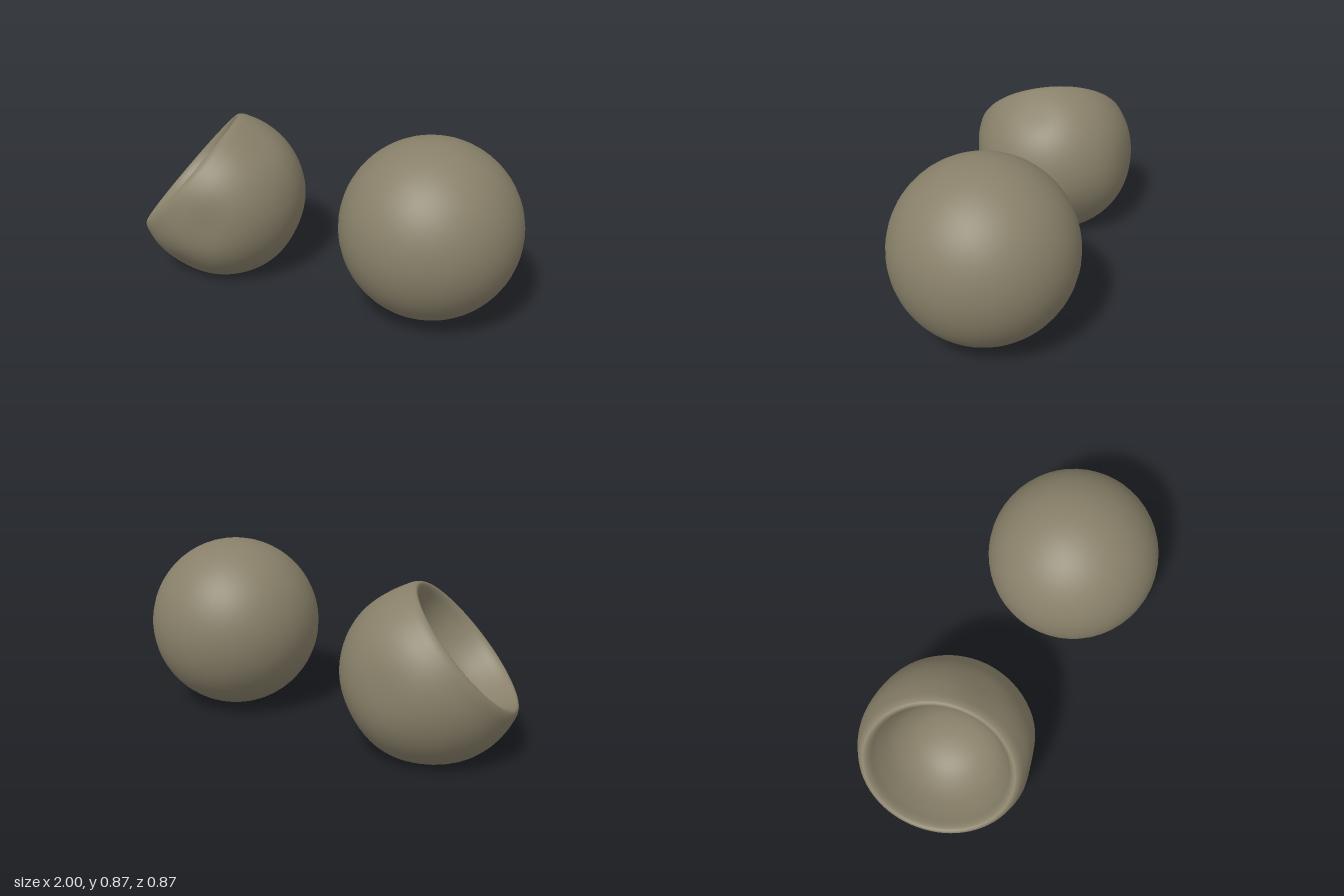
import * as THREE from 'three';
import { mergeVertices } from 'three/addons/utils/BufferGeometryUtils.js';

const R = 0.43;

// Profile around the dent axis: round back, soft lip, then the pushed-in bowl
function dentedProfile() {
  const pts = [];
  for (let i = 0; i <= 14; i++) {
    const a = THREE.MathUtils.degToRad(-90 + i * 8);
    pts.push(new THREE.Vector2(R * Math.cos(a), R * Math.sin(a)));
  }
  const bowl = [[0.382, 0.197], [0.36, 0.214], [0.337, 0.195], [0.312, 0.14], [0.26, 0.055],
    [0.18, -0.015], [0.09, -0.05], [0, -0.06]];
  bowl.forEach(([r, a]) => pts.push(new THREE.Vector2(r, a)));
  const out = new THREE.SplineCurve(pts).getPoints(84);
  out.forEach(p => { p.x = Math.max(0, p.x); });
  out[0].x = out[out.length - 1].x = 0;
  return out;
}

// Shallow dimples: direction, depth, width
const dimples = [
  [[0.35, 0.0, 0.94], 0.02, 0.13],
  [[-0.1, -0.65, 0.75], 0.018, 0.13],
  [[0.6, 0.8, 0.1], 0.014, 0.12],
  [[0.75, -0.5, -0.45], 0.014, 0.14],
  [[0.1, 0.1, -1], 0.012, 0.14],
].map(([d, depth, w]) => ({ dir: new THREE.Vector3(...d).normalize(), depth, w }));

function deflatedBallGeometry() {
  let g = new THREE.LatheGeometry(dentedProfile(), 72);
  g.deleteAttribute('uv');
  g.deleteAttribute('normal');
  g = mergeVertices(g, 1e-4);
  const axis = new THREE.Vector3(-0.7, 0.66, 0.27).normalize();
  g.applyQuaternion(new THREE.Quaternion().setFromUnitVectors(new THREE.Vector3(0, 1, 0), axis));

  const pos = g.attributes.position, v = new THREE.Vector3();
  const floor = -0.385, soft = 0.014;
  for (let i = 0; i < pos.count; i++) {
    v.fromBufferAttribute(pos, i);
    for (const { dir, depth, w } of dimples) {
      const d = v.distanceTo(dir.clone().multiplyScalar(R));
      v.addScaledVector(dir, -depth * Math.exp(-(d * d) / (w * w)));
    }
    // The underside buckles upward where it meets the ground
    const d = v.y - floor;
    v.y = floor + Math.sqrt(d * d + soft * soft) - soft;
    pos.setXYZ(i, v.x, v.y, v.z);
  }
  g.computeVertexNormals();
  return g;
}

export function createModel() {
  const group = new THREE.Group();
  const rubber = new THREE.MeshStandardMaterial({ color: 0x888069 });
  rubber.name = 'olive grey rubber';

  // Full round ball
  const ball = new THREE.Mesh(new THREE.SphereGeometry(0.433, 48, 32), rubber);
  ball.name = 'inflatedBall';
  ball.position.set(0.567, 0.437, 0);

  // Collapsed ball
  const flat = new THREE.Mesh(deflatedBallGeometry(), rubber);
  flat.name = 'deflatedBall';
  flat.position.set(-0.592, 0.387, 0);

  group.add(ball, flat);
  return group;
}
